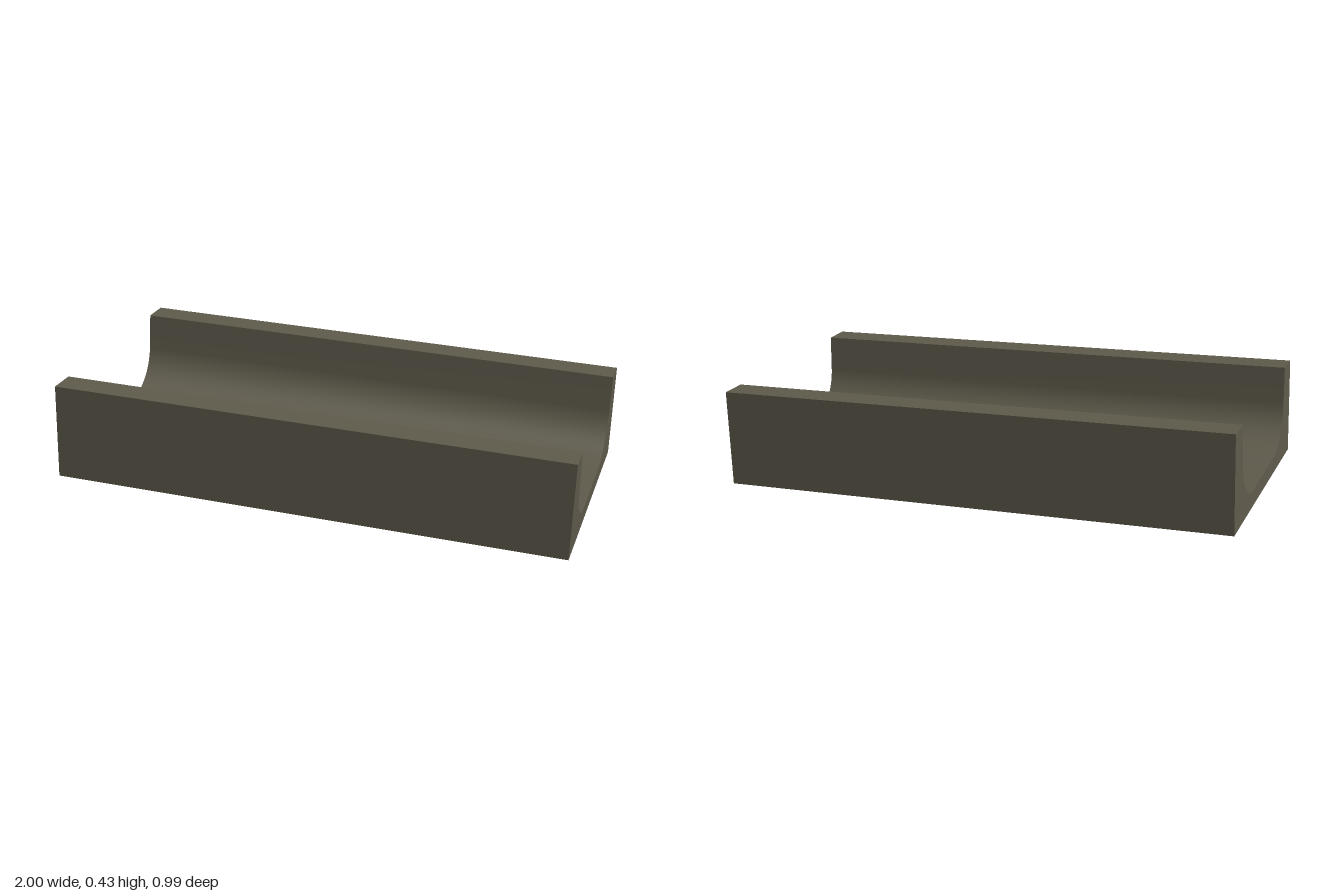
import * as THREE from 'three';
import { toCreasedNormals } from 'three/addons/utils/BufferGeometryUtils.js';

export function createModel() {
  const stone = new THREE.MeshStandardMaterial({ color: 0x5f5b4c });
  stone.name = 'olive grey stone';

  const length = 1.989, height = 0.372, halfWidth = 0.497;
  const tilt = 0.0302;      // slope along the trough
  const draft = 0.087;      // outward lean of the inner walls
  const floor = 0.062, radius = 0.185, arcX = 0.19, arcY = floor + radius;

  // U-shaped cross-section with rounded inner corners
  const profile = new THREE.Shape();
  profile.moveTo(-halfWidth, 0);
  profile.lineTo(halfWidth, 0);
  profile.lineTo(halfWidth, height);
  profile.lineTo(0.385, height);
  profile.absarc(arcX, arcY, radius, -draft, -Math.PI / 2, true);
  profile.absarc(-arcX, arcY, radius, -Math.PI / 2, -Math.PI + draft, true);
  profile.lineTo(-0.385, height);
  profile.lineTo(-halfWidth, height);
  profile.closePath();

  // Sweep the section along x, centred on its own middle
  let geometry = new THREE.ExtrudeGeometry(profile, { depth: length, bevelEnabled: false, curveSegments: 12 });
  geometry.translate(0, -height / 2, -length / 2);
  geometry.rotateY(Math.PI / 2);
  geometry = toCreasedNormals(geometry, 0.5);

  const trough = new THREE.Mesh(geometry, stone);
  trough.name = 'trough';
  trough.rotation.z = -tilt;
  trough.position.y = (height * Math.cos(tilt) + length * Math.sin(tilt)) / 2;

  const group = new THREE.Group();
  group.name = 'slopedChannel';
  group.add(trough);
  return group;
}
